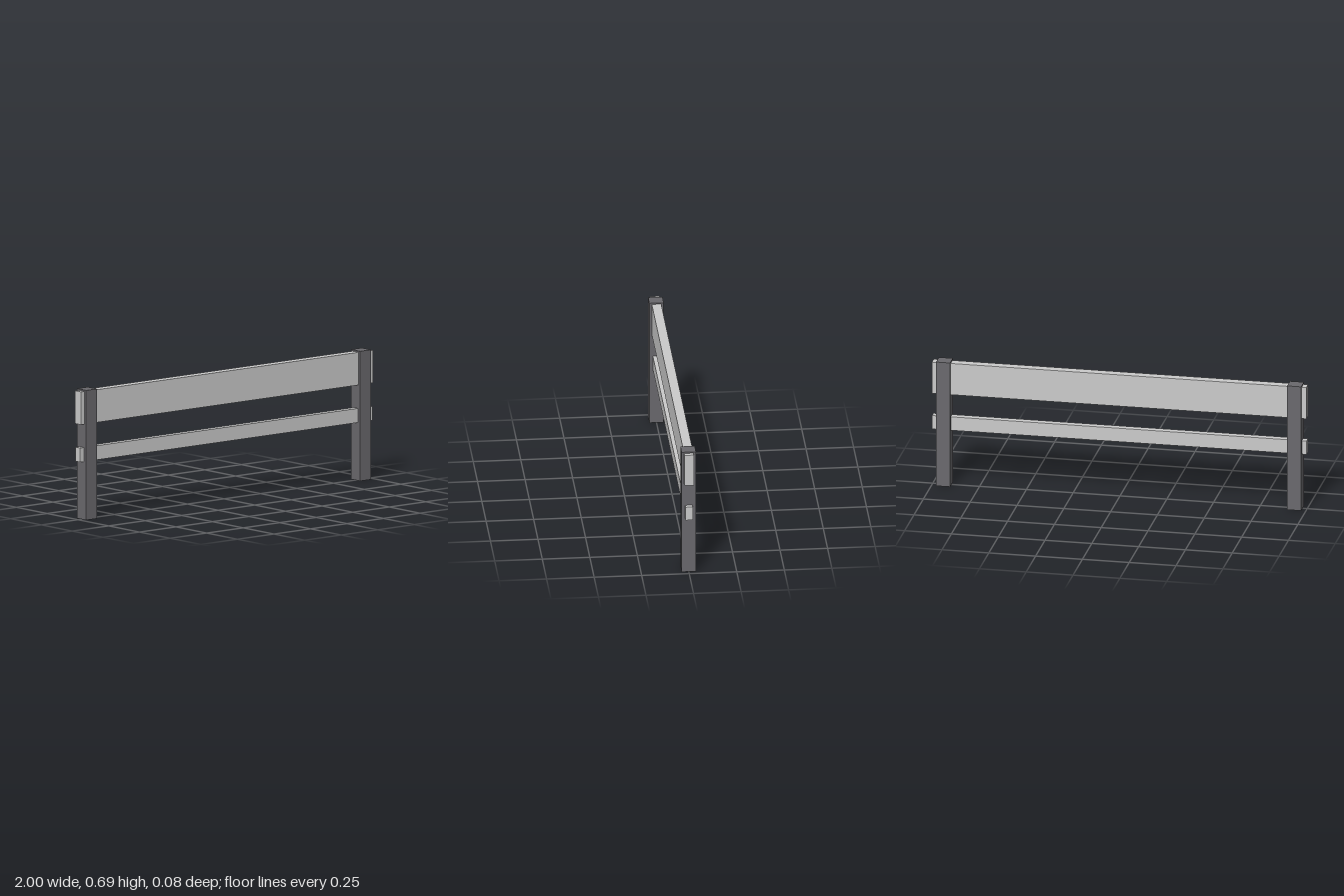
import * as THREE from 'three';

export function createModel() {
  const model = new THREE.Group();
  const railMaterial = new THREE.MeshStandardMaterial({ color: 0xcccccc });
  const postMaterial = new THREE.MeshStandardMaterial({ color: 0x6a696d });

  // Box spanning bottom..top in height, centred on z = 0
  function addBeam(name, material, width, bottom, top, depth, x = 0) {
    const mesh = new THREE.Mesh(new THREE.BoxGeometry(width, top - bottom, depth), material);
    mesh.name = name;
    mesh.position.set(x, (bottom + top) / 2, 0);
    model.add(mesh);
  }

  // Square posts, one near each end
  for (const side of [-1, 1]) {
    addBeam(side > 0 ? 'leftPost' : 'rightPost', postMaterial, 0.075, 0, 0.689, 0.075, side * 0.9375);
  }

  // Rails running through the posts and ending just beyond them
  addBeam('upperRail', railMaterial, 2, 0.508, 0.682, 0.049);
  addBeam('lowerRail', railMaterial, 2, 0.308, 0.383, 0.038);

  return model;
}
